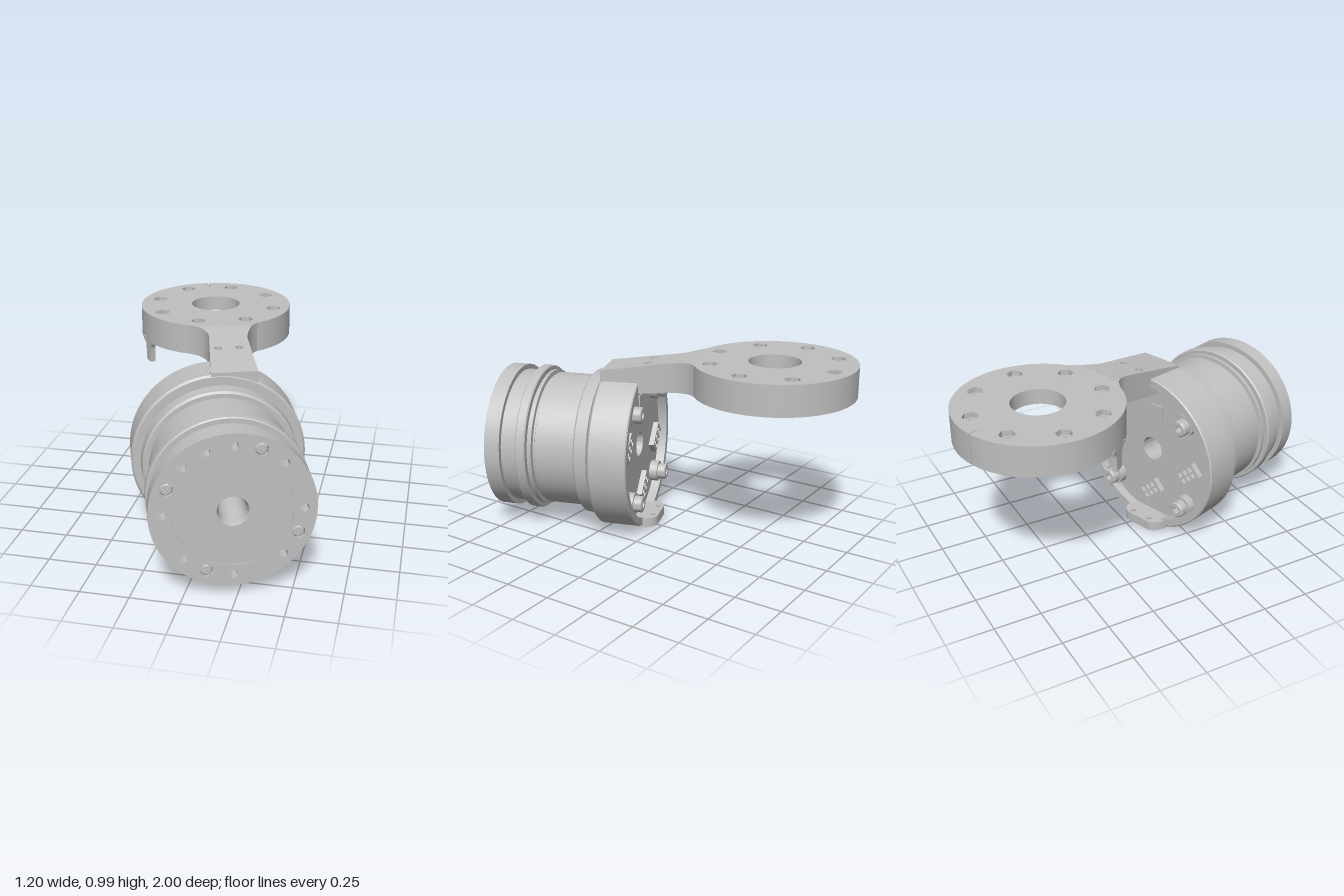
import * as THREE from 'three';
import { toCreasedNormals } from 'three/addons/utils/BufferGeometryUtils.js';

const metal = new THREE.MeshStandardMaterial({ color: 0xc0c0c0 });
metal.name = 'grey metal';

const AXIS = 0.33;                                  // motor turned about y
const BACK = new THREE.Vector3(-0.03, 0.45, 0.11);  // centre of the motor's back
const DISC = { x: -0.175, y: 0.575, r: 0.425 };     // mount disc, plan coordinates (x, -z)
const TOP = 0.993, BOTTOM = 0.83;                   // heights of the mount disc
const TAU = Math.PI * 2;

function add(parent, name, geo, x = 0, y = 0, z = 0) {
  const mesh = new THREE.Mesh(toCreasedNormals(geo.index ? geo.toNonIndexed() : geo, 0.5), metal);
  mesh.name = name;
  mesh.position.set(x, y, z);
  parent.add(mesh);
  return mesh;
}

// Regular polygon as a list of points
function ngon(cx, cy, r, n, rot = 0) {
  return Array.from({ length: n }, (_, i) => {
    const a = rot + (i / n) * TAU;
    return new THREE.Vector2(cx + r * Math.cos(a), cy + r * Math.sin(a));
  });
}
const hole = (...args) => new THREE.Path(ngon(...args));

const extrude = (shape, depth) =>
  new THREE.ExtrudeGeometry(shape, { depth, bevelEnabled: false, curveSegments: 96 });

// Plan shape (x, -z) raised from y0 to y1
const slab = (shape, y0, y1) => extrude(shape, y1 - y0).rotateX(-Math.PI / 2).translate(0, y0, 0);

// Profile of [radius, distance] revolved around the z axis
const turned = (pts, seg = 96) =>
  new THREE.LatheGeometry(pts.map(p => new THREE.Vector2(...p)), seg).rotateX(Math.PI / 2);

function buildMotor() {
  const motor = new THREE.Group();
  motor.name = 'motor';
  motor.position.copy(BACK);
  motor.rotation.y = AXIS;

  // Stepped body with through bore and recessed back
  add(motor, 'motorBody', turned([
    [0.067, 0.77], [0.067, 0.05], [0.405, 0.05], [0.405, 0], [0.444, 0], [0.45, 0.006],
    [0.45, 0.2], [0.44, 0.21], [0.385, 0.21], [0.385, 0.226], [0.402, 0.23], [0.398, 0.295],
    [0.388, 0.305], [0.365, 0.305], [0.365, 0.525], [0.355, 0.53], [0.355, 0.54], [0.378, 0.542],
    [0.378, 0.56], [0.365, 0.563], [0.365, 0.57], [0.394, 0.57], [0.4, 0.576], [0.4, 0.619],
    [0.394, 0.625], [0.37, 0.625], [0.37, 0.735], [0.285, 0.735], [0.285, 0.795],
    [0.077, 0.795], [0.067, 0.77],
  ]));

  // Front flange with a circle of hexagonal recesses
  const flange = new THREE.Shape().absarc(0, 0, 0.397, 0, TAU);
  flange.holes.push(new THREE.Path().absarc(0, 0, 0.285, 0, TAU, true));
  const at = deg => [0.335 * Math.cos(deg * Math.PI / 180), 0.335 * Math.sin(deg * Math.PI / 180)];
  for (const d of [0, 45, 90, 112.5, 135, 180, 225, 270, 315])
    flange.holes.push(hole(...at(d), 0.025, 6, Math.PI / 6));
  const screwAngles = [67.5, -22.5, -112.5, 157.5];
  for (const d of screwAngles) flange.holes.push(hole(...at(d), 0.036, 6, d));
  add(motor, 'frontFlange', extrude(flange, 0.085), 0, 0, 0.715);

  // Cross-slot screws sunk in the flange
  for (const d of screwAngles) {
    const [x, y] = at(d);
    add(motor, 'frontScrew', turned([[0.03, 0], [0.03, 0.052], [0.024, 0.059], [0, 0.059]], 24), x, y, 0.735);
    for (const turn of [0, Math.PI / 2])
      add(motor, 'screwCross', new THREE.BoxGeometry(0.03, 0.007, 0.006), x, y, 0.794).rotation.z = turn + d;
  }

  // Socket-head bolts on raised bosses at the back
  for (const x of [-0.25, 0.25]) for (const y of [-0.25, 0.25]) {
    add(motor, 'backBolt', turned([
      [0, 0], [0.02, 0], [0.02, -0.04], [0.038, -0.04], [0.044, -0.034], [0.044, 0.06],
    ], 32), x, y, 0);
    add(motor, 'boltBoss', turned([[0.04, 0.005], [0.058, 0.005], [0.058, 0.06]], 32), x, y, 0);
  }

  // Connectors and chip on the recessed board
  const sockets = [[-0.01, -0.25, 0.75], [-0.27, -0.05, 0.75], [0.28, 0.07, 0.75]];
  for (const [x, y, turn] of sockets) {
    const socket = new THREE.Group();
    socket.name = 'connector';
    socket.position.set(x, y, 0.05);
    socket.rotation.z = -turn;
    motor.add(socket);
    const shell = new THREE.Shape(
      [[-0.075, -0.04], [0.075, -0.04], [0.075, 0.04], [-0.075, 0.04]].map(p => new THREE.Vector2(...p)));
    for (const i of [-1, 0, 1]) for (const j of [-1, 1])
      shell.holes.push(hole(i * 0.042, j * 0.018, 0.018, 4, Math.PI / 4));
    add(socket, 'connectorShell', extrude(shell, 0.03), 0, 0, -0.03);
  }
  add(motor, 'chip', new THREE.BoxGeometry(0.08, 0.08, 0.01), -0.03, 0.24, 0.047);

  // Lower ear with two holes behind the housing
  const ear = new THREE.Shape();
  ear.moveTo(-0.14, -0.09);
  ear.lineTo(0.13, -0.09);
  ear.lineTo(0.13, -0.01);
  ear.quadraticCurveTo(0.11, 0.07, 0.06, 0.07);
  ear.lineTo(-0.07, 0.07);
  ear.quadraticCurveTo(-0.12, 0.07, -0.14, -0.01);
  for (const x of [-0.06, 0.056]) ear.holes.push(hole(x, 0.04, 0.014, 20));
  add(motor, 'lowerEar', slab(ear, -0.442, -0.39));
  return motor;
}

function buildMount() {
  const mount = new THREE.Group();
  mount.name = 'mount';
  const { x: cx, y: cy, r } = DISC;
  const slit = 1.9, gap = 0.008;

  // Split disc outline, with the slit running inwards to a given radius
  function disc(inner) {
    const s = new THREE.Shape().absarc(cx, cy, r, slit + gap, slit + TAU - gap);
    if (inner) s.absarc(cx, cy, inner, slit + TAU - gap, slit + gap, true);
    else s.lineTo(cx + 0.335 * Math.cos(slit), cy + 0.335 * Math.sin(slit));
    return s;
  }

  // Plate in two layers: hexagonal pockets above, round holes below
  const layers = [['plateTop', 0.965, TOP, 0.042, 6], ['plateBottom', 0.912, 0.965, 0.024, 24]];
  for (const [name, y0, y1, size, sides] of layers) {
    const s = disc(0);
    s.holes.push(new THREE.Path().absarc(cx, cy, 0.136, 0, TAU, true));
    for (let i = 0; i < 8; i++) {
      const a = -0.06 + i * TAU / 8;
      s.holes.push(hole(cx + 0.337 * Math.cos(a), cy + 0.337 * Math.sin(a), size, sides, a));
    }
    add(mount, name, slab(s, y0, y1));
  }
  add(mount, 'discWall', slab(disc(0.4), BOTTOM, 0.912));

  // Flat neck flaring into the disc
  const neck = new THREE.Shape();
  neck.moveTo(-0.28, 0.163);
  neck.quadraticCurveTo(-0.22, 0.155, -0.18, 0.136);
  neck.lineTo(0.106, 0.225);
  neck.quadraticCurveTo(0.125, 0.3, 0.202, 0.38);
  neck.absarc(cx, cy, 0.414, -0.48, -1.82, true);
  add(mount, 'neck', slab(neck, BOTTOM, TOP));

  // Arm sloping down along the motor axis to the housing
  const arm = new THREE.Shape();
  arm.moveTo(-0.18, 0.136);
  arm.quadraticCurveTo(-0.12, 0.11, -0.095, 0.05);
  arm.lineTo(0, -0.32);
  arm.lineTo(0.225, -0.24);
  arm.lineTo(0.107, 0.08);
  arm.quadraticCurveTo(0.09, 0.16, 0.106, 0.225);
  const screws = [[-0.02, 0.065], [0.085, 0.03]];
  for (const [x, z] of screws) arm.holes.push(hole(x, -z, 0.02, 20));
  const geo = slab(arm, 0, 1), p = geo.attributes.position;
  for (let i = 0; i < p.count; i++) {
    const s = (p.getX(i) - BACK.x) * Math.sin(AXIS) + (p.getZ(i) - BACK.z) * Math.cos(AXIS);
    const run = Math.max(0, s + 0.275);
    p.setY(i, p.getY(i) > 0.5 ? TOP - 0.17 * run : BOTTOM - 0.11 * run);
  }
  add(mount, 'arm', geo);
  for (const [x, z] of screws)
    add(mount, 'armScrew', new THREE.CylinderGeometry(0.02, 0.02, 0.12, 20), x, 0.872, z);

  // Small tab hanging from the disc wall
  const tab = new THREE.Shape();
  tab.moveTo(-0.07, 0.13);
  tab.lineTo(-0.07, 0.115);
  tab.quadraticCurveTo(-0.033, 0.11, -0.032, 0.07);
  tab.lineTo(-0.028, 0);
  tab.lineTo(0.028, 0);
  tab.lineTo(0.032, 0.07);
  tab.quadraticCurveTo(0.033, 0.11, 0.07, 0.115);
  tab.lineTo(0.07, 0.13);
  add(mount, 'hangingTab', extrude(tab, 0.026).translate(0, 0, -0.013), -0.494, 0.715, -0.315).rotation.y = -0.886;
  return mount;
}

export function createModel() {
  const model = new THREE.Group();
  model.name = 'motorWithMount';
  model.add(buildMotor(), buildMount());
  return model;
}
